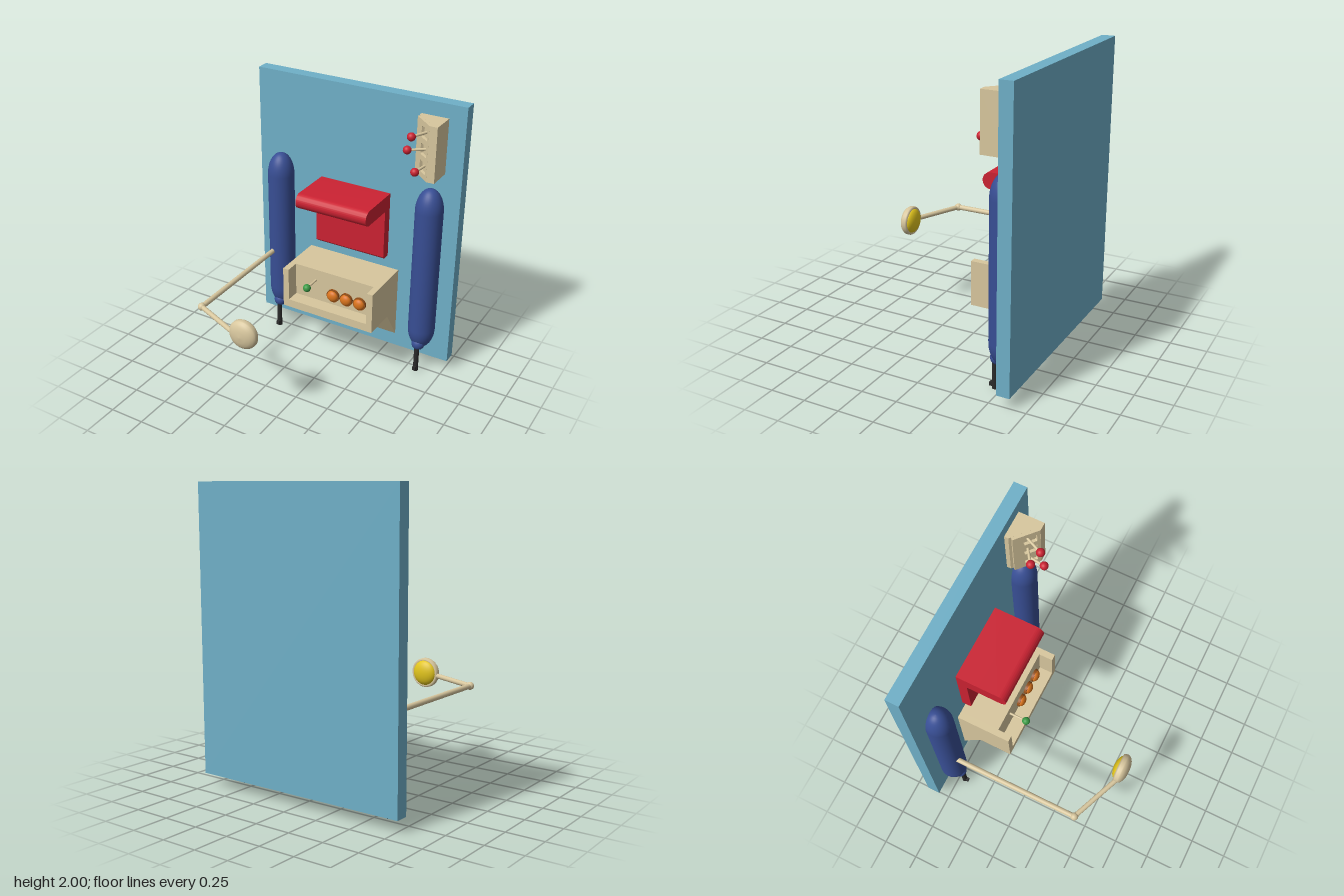
import * as THREE from 'three';
import { toCreasedNormals } from 'three/addons/utils/BufferGeometryUtils.js';

const mat = (color) => new THREE.MeshStandardMaterial({ color });
const teal = mat(0x6fb0c8), tan = mat(0xd8c79e), red = mat(0xcb2232), blue = mat(0x384e94);
const black = mat(0x2a2a2a), green = mat(0x3a9a45), orange = mat(0xd9731c), brown = mat(0x94501a);
const yellow = mat(0xe2c51c);
const V = (x, y, z) => new THREE.Vector3(x, y, z);

export function createModel() {
  const model = new THREE.Group();

  function add(name, geometry, material, x = 0, y = 0, z = 0, parent = model) {
    const mesh = new THREE.Mesh(geometry, material);
    mesh.name = name;
    mesh.position.set(x, y, z);
    parent.add(mesh);
    return mesh;
  }
  const box = (name, m, x0, x1, y0, y1, z0, z1) =>
    add(name, new THREE.BoxGeometry(x1 - x0, y1 - y0, z1 - z0), m, (x0 + x1) / 2, (y0 + y1) / 2, (z0 + z1) / 2);
  const ball = (name, m, r, x, y, z) => add(name, new THREE.SphereGeometry(r, 24, 16), m, x, y, z);
  function rod(name, m, a, b, r) {
    const dir = b.clone().sub(a), mid = a.clone().add(b).multiplyScalar(0.5);
    const mesh = add(name, new THREE.CylinderGeometry(r, r, dir.length(), 16), m, mid.x, mid.y, mid.z);
    mesh.quaternion.setFromUnitVectors(V(0, 1, 0), dir.normalize());
    return mesh;
  }
  const polygon = (pts) => new THREE.Shape(pts.map(([a, b]) => new THREE.Vector2(a, b)));
  // Side profile in (-z, y), swept along x
  function sweepX(name, m, shape, x0, x1) {
    const g = new THREE.ExtrudeGeometry(shape, { depth: x1 - x0, bevelEnabled: false, curveSegments: 16 });
    return add(name, toCreasedNormals(g.rotateY(Math.PI / 2), 0.6), m, x0);
  }

  // Back board
  box('backBoard', teal, -0.77, 0.77, 0.08, 2, -0.65, -0.56);

  // Two upright tanks with hoses
  const tankProfile = [];
  for (let i = 0; i <= 24; i++) {
    const t = (i / 24) * Math.PI, end = i < 12 ? 0.34 : 1.26;
    if (i === 12) tankProfile.push(new THREE.Vector2(0.095, 0.34));
    tankProfile.push(new THREE.Vector2(Math.max(0, 0.095 * Math.sin(t)), end - 0.16 * Math.cos(t)));
  }
  for (const s of [-1, 1]) {
    const x = s * 0.577;
    add('tank', new THREE.LatheGeometry(tankProfile, 32), blue, x, 0, -0.515);
    ball('hoseCollar', blue, 0.048, x, 0.222, -0.475);
    rod('hose', black, V(x, 0, -0.456), V(x, 0.25, -0.456), 0.018);
    box('hoseCatch', black, x - 0.012, x + 0.012, 0.015, 0.042, -0.445, -0.423);
  }

  // Red pad: back panel and rounded headrest in one profile
  const pad = new THREE.Shape();
  pad.moveTo(0.56, 0.81);
  pad.lineTo(0.56, 1.29);
  pad.lineTo(0.26, 1.29);
  pad.absarc(0.26, 1.235, 0.055, Math.PI / 2, Math.PI * 1.5, false);
  pad.lineTo(0.49, 1.18);
  pad.lineTo(0.49, 0.825);
  pad.lineTo(0.505, 0.81);
  sweepX('headrestPad', red, pad, -0.27, 0.267);

  // Console: open-topped recess between two side walls, sloping underside
  const under = [[0.56, 0.18], [0.41, 0.41], [0.17, 0.41]];
  const trough = polygon([...under, [0.17, 0.47], [0.27, 0.47], [0.27, 0.715], [0.56, 0.715]]);
  const wall = polygon([...under, [0.17, 0.715], [0.56, 0.715]]);
  sweepX('consoleBody', tan, trough, -0.31, 0.31);
  sweepX('consoleSideWall', tan, wall, -0.355, -0.31);
  sweepX('consoleSideWall', tan, wall, 0.31, 0.355);

  // Vent bars on the slope
  for (const y of [0.36, 0.32, 0.28]) {
    const z = -0.41 - ((0.41 - y) / 0.23) * 0.15;
    const vent = add('ventBar', new THREE.BoxGeometry(0.385, 0.022, 0.008), brown, -0.003, y, z);
    vent.rotation.x = Math.atan2(0.15, 0.23);
  }

  // Dials and lever on the console panel
  for (const x of [0, 0.105, 0.21]) {
    const rim = add('dialRim', new THREE.CylinderGeometry(0.048, 0.048, 0.02, 32), brown, x, 0.55, -0.262);
    rim.rotation.x = Math.PI / 2;
    add('dial', new THREE.SphereGeometry(0.042, 24, 16), orange, x, 0.55, -0.253).scale.z = 0.65;
  }
  rod('consoleLever', tan, V(-0.145, 0.63, -0.28), V(-0.145, 0.63, -0.15), 0.008);
  ball('consoleLeverKnob', green, 0.028, -0.145, 0.63, -0.145);

  // Switch box: wedge body with a slotted panel on the slanted face
  const wedge = polygon([[0.46, 0.56], [0.65, 0.56], [0.65, 0.385], [0.595, 0.385], [0.595, 0.412], [0.46, 0.532]]);
  const wedgeGeometry = new THREE.ExtrudeGeometry(wedge, { depth: 0.38, bevelEnabled: false });
  add('switchBoxBody', wedgeGeometry.rotateX(-Math.PI / 2), tan, 0, 1.525);

  const plate = polygon([[0, 0], [0.18, 0], [0.18, 0.38], [0, 0.38]]);
  const rows = [1.83, 1.715, 1.6];
  for (const y of rows) {
    const cx = 0.114, cy = y - 1.525, w = 0.044, h = 0.038, r = 0.01;
    const slot = new THREE.Path();
    slot.absarc(cx + w - r, cy + h - r, r, 0, Math.PI / 2);
    slot.absarc(cx - w + r, cy + h - r, r, Math.PI / 2, Math.PI);
    slot.absarc(cx - w + r, cy - h + r, r, Math.PI, Math.PI * 1.5);
    slot.absarc(cx + w - r, cy - h + r, r, Math.PI * 1.5, Math.PI * 2);
    slot.closePath();
    plate.holes.push(slot);
  }
  const plateGeometry = new THREE.ExtrudeGeometry(plate, { depth: 0.02, bevelEnabled: false, curveSegments: 5 });
  const panel = add('switchPanel', plateGeometry, tan, 0.473, 1.525, -0.52);
  panel.rotation.y = -Math.atan2(0.12, 0.135);

  // Switch levers at different angles
  [[0.498, -0.338], [0.453, -0.385], [0.535, -0.335]].forEach(([x, z], i) => {
    rod('switchLever', tan, V(0.55, rows[i], -0.455), V(x, rows[i], z), 0.009);
    ball('switchKnob', red, 0.028, x, rows[i], z);
  });

  // Folding lamp arm
  const elbow = V(-0.607, 0.657, 0.452);
  rod('lowerLampArm', tan, V(-0.607, 0.657, -0.45), elbow, 0.018);
  ball('lampElbow', tan, 0.027, elbow.x, elbow.y, elbow.z);
  rod('upperLampArm', tan, elbow, V(-0.24, 0.66, 0.603), 0.017);

  // Lamp head: domed shell facing forward, yellow lens facing the board
  const shell = [[0.083, -0.022], [0.095, -0.028], [0.103, -0.016], [0.103, 0.006], [0.099, 0.014],
    [0.09, 0.026], [0.07, 0.038], [0.04, 0.047], [0, 0.05]].map(([r, h]) => new THREE.Vector2(r, h));
  const lamp = new THREE.Group();
  lamp.name = 'lampHead';
  lamp.position.set(-0.17, 0.673, 0.6);
  lamp.rotation.x = Math.PI / 2;
  model.add(lamp);
  const shellMaterial = tan.clone();
  shellMaterial.side = THREE.DoubleSide;
  add('lampShell', new THREE.LatheGeometry(shell, 40), shellMaterial, 0, 0, 0, lamp);
  add('lampLens', new THREE.SphereGeometry(0.088, 32, 16), yellow, 0, -0.015, 0, lamp).scale.y = 0.5;

  return model;
}
